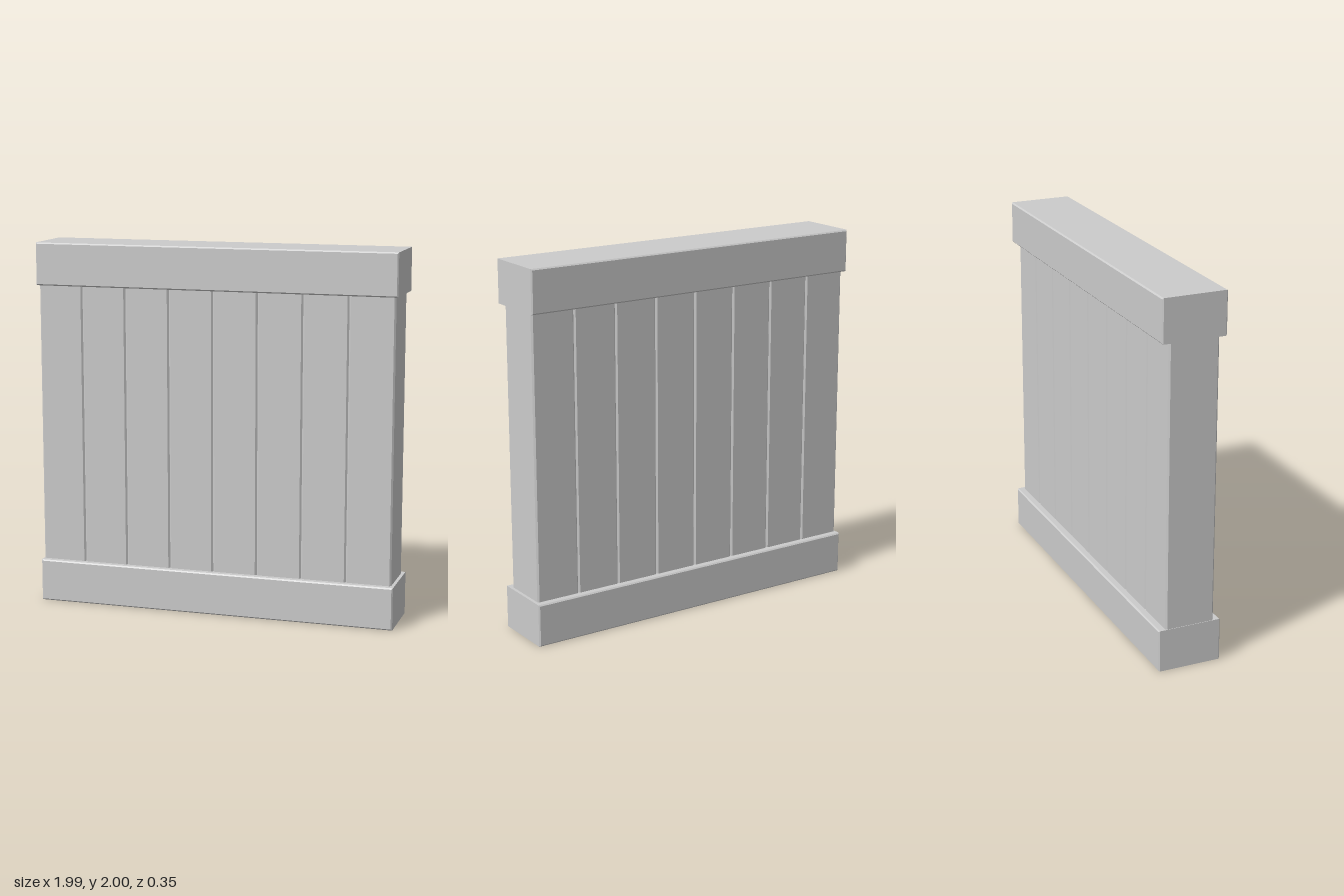
import * as THREE from 'three';

const material = new THREE.MeshStandardMaterial({ color: 0xcccccc, flatShading: true });

// Box of full size w x h x d, centred, with every edge chamfered by c
function chamferedBox(w, h, d, c) {
  const x = w / 2 - c, y = h / 2 - c;
  const shape = new THREE.Shape([
    new THREE.Vector2(-x, -y), new THREE.Vector2(x, -y),
    new THREE.Vector2(x, y), new THREE.Vector2(-x, y),
  ]);
  const geometry = new THREE.ExtrudeGeometry(shape, {
    depth: d - 2 * c, bevelEnabled: true, bevelThickness: c, bevelSize: c, bevelSegments: 1,
  });
  return geometry.translate(0, 0, c - d / 2);
}

export function createModel() {
  const model = new THREE.Group();
  model.name = 'plankWall';

  const add = (name, geometry, x, y) => {
    const mesh = new THREE.Mesh(geometry, material);
    mesh.name = name;
    mesh.position.set(x, y, 0);
    model.add(mesh);
  };

  // Bottom and top rails
  const railHeight = 0.232;
  const rail = chamferedBox(1.994, railHeight, 0.35, 0.007);
  add('bottomRail', rail, 0, railHeight / 2);
  add('topRail', rail, 0, 2 - railHeight / 2);

  // Eight upright planks, edge to edge, set slightly toward -x; ends sit inside the rails
  const count = 8, pitch = 0.2467, start = -0.994;
  const plank = chamferedBox(pitch, 1.64, 0.272, 0.009);
  for (let i = 0; i < count; i++) {
    add(`plank${i + 1}`, plank, start + (i + 0.5) * pitch, 1);
  }
  return model;
}
